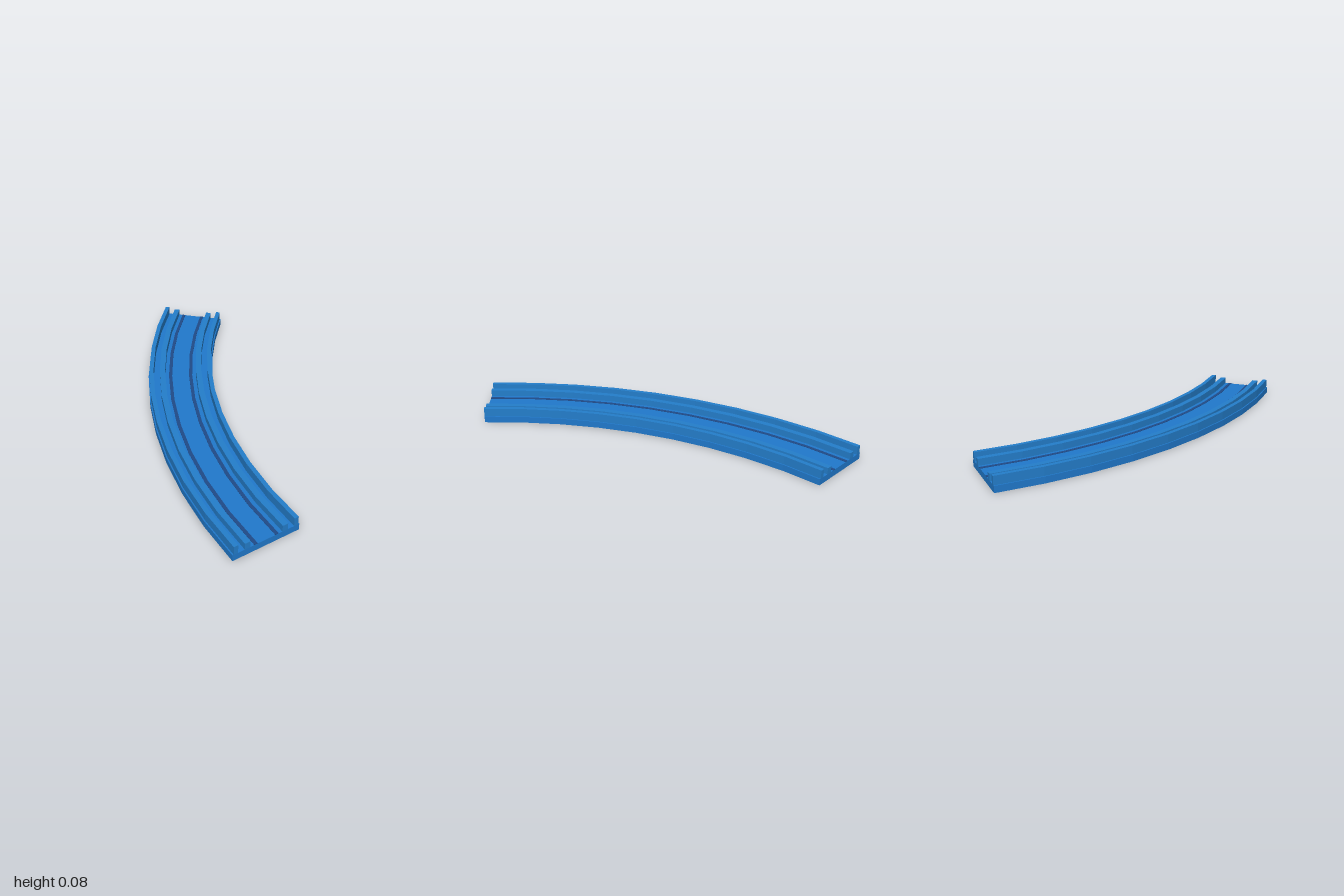
import * as THREE from 'three';
import { mergeGeometries } from 'three/addons/utils/BufferGeometryUtils.js';

// Curved track: a 45 degree arc in 9 facets about (CX, CZ)
const CX = 2.285, CZ = 1, SEGMENTS = 9, ARC = Math.PI / 4;
const OUTER = 2.828, INNER = 2.465, MIDDLE = (OUTER + INNER) / 2;

// Rectangular bar swept along the arc, with closed ends
function sweptBar(r0, r1, y0, y1) {
  const profile = [[r0, y0], [r1, y0], [r1, y1], [r0, y1], [r0, y0]]
    .map(([r, y]) => new THREE.Vector2(r, y));
  const parts = [new THREE.LatheGeometry(profile, SEGMENTS, Math.PI * 1.25, ARC)];
  for (const [angle, facing] of [[0, 0], [ARC, Math.PI * 0.75]]) {
    const cap = new THREE.PlaneGeometry(r1 - r0, y1 - y0);
    const r = (r0 + r1) / 2;
    cap.rotateY(facing);
    cap.translate(-r * Math.cos(angle), (y0 + y1) / 2, -r * Math.sin(angle));
    parts.push(cap);
  }
  const geometry = mergeGeometries(parts.map((p) => p.toNonIndexed()));
  geometry.translate(CX, 0, CZ);
  geometry.computeVertexNormals();
  return geometry;
}

export function createModel() {
  const model = new THREE.Group();
  model.name = 'curvedTrack';
  const material = (name, color) => {
    const m = new THREE.MeshStandardMaterial({ color });
    m.name = name;
    return m;
  };
  const blue = material('blue', 0x2079cc);
  const railBlue = material('railBlue', 0x247ecb);
  const darkBlue = material('darkBlue', 0x1f4a88);

  const add = (name, mat, r0, r1, y0, y1) => {
    const mesh = new THREE.Mesh(sweptBar(r0, r1, y0, y1), mat);
    mesh.name = name;
    model.add(mesh);
  };

  // Base slab
  add('base', blue, INNER, OUTER, 0, 0.035);

  // Mirrored pairs: name, material, near and far distance from the centreline, top
  const pairs = [
    ['Wall', railBlue, 0.152, 0.175, 0.081],
    ['Rail', railBlue, 0.087, 0.117, 0.07],
    ['Stripe', darkBlue, 0.048, 0.066, 0.037],
  ];
  for (const [name, mat, near, far, top] of pairs) {
    add('outer' + name, mat, MIDDLE + near, MIDDLE + far, 0.035, top);
    add('inner' + name, mat, MIDDLE - far, MIDDLE - near, 0.035, top);
  }
  return model;
}
